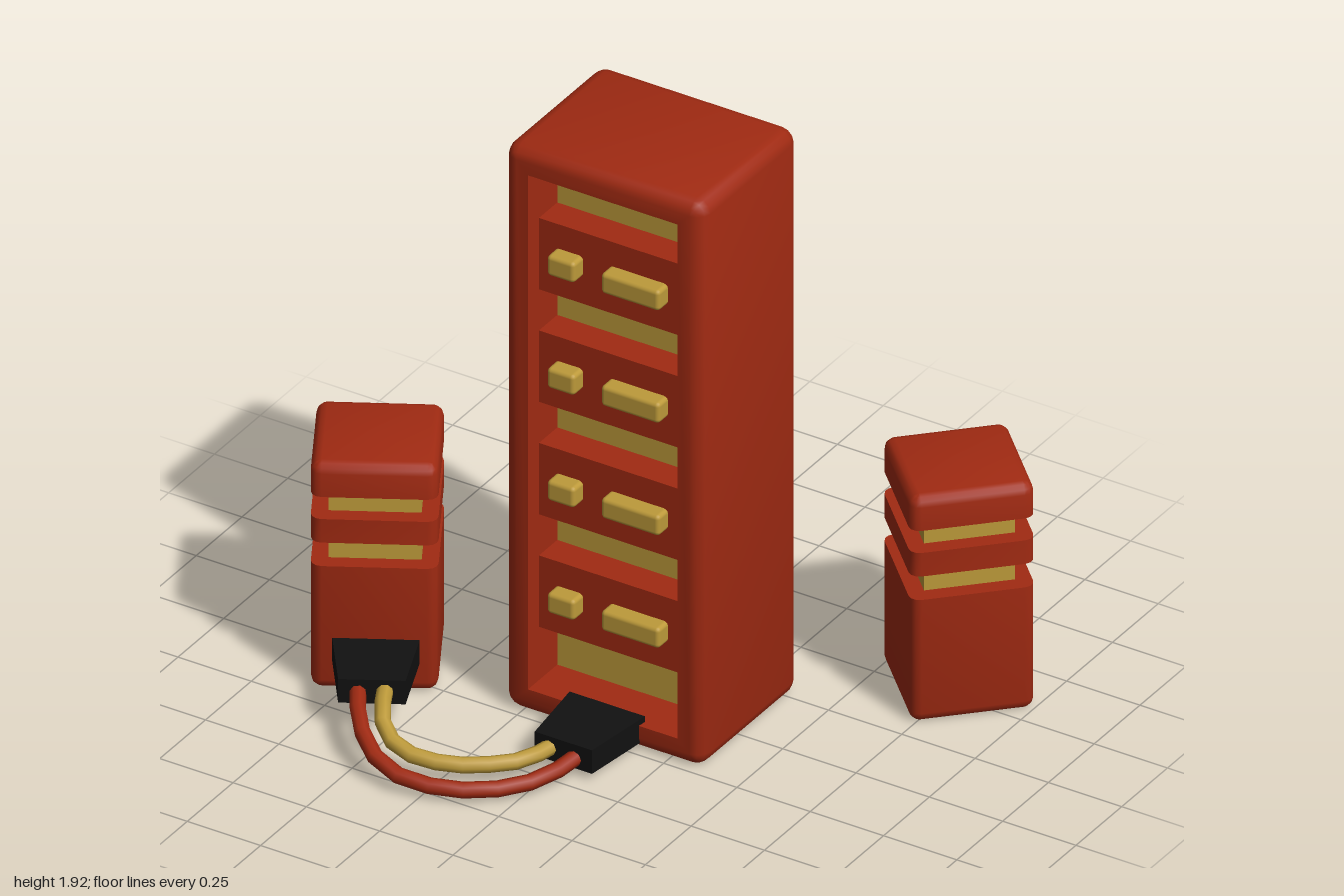
import * as THREE from 'three';
import { toCreasedNormals } from 'three/addons/utils/BufferGeometryUtils.js';
import { RoundedBoxGeometry } from 'three/addons/geometries/RoundedBoxGeometry.js';

const red = new THREE.MeshStandardMaterial({ color: 0xa02a12 });
const gold = new THREE.MeshStandardMaterial({ color: 0xbd9a3a });
const black = new THREE.MeshStandardMaterial({ color: 0x111111 });
const SEG = 3;

function add(parent, name, geometry, material, x = 0, y = 0, z = 0) {
  const mesh = new THREE.Mesh(geometry, material);
  mesh.name = name;
  mesh.position.set(x, y, z);
  parent.add(mesh);
  return mesh;
}

// Rounded rectangle cross-section, counterclockwise, at depth z
function section({ w, h, r, z }) {
  const points = [];
  [[1, 1], [-1, 1], [-1, -1], [1, -1]].forEach(([sx, sy], k) => {
    for (let i = 0; i <= SEG; i++) {
      const a = (k + i / SEG) * Math.PI / 2;
      points.push([sx * (w / 2 - r) + r * Math.cos(a), sy * (h / 2 - r) + r * Math.sin(a), z]);
    }
  });
  return points;
}

// Skin a series of cross-sections along z
function loft(levels) {
  const rings = levels.map(section);
  const n = rings[0].length;
  const positions = [];
  for (let k = 0; k < rings.length - 1; k++) {
    for (let i = 0; i < n; i++) {
      const j = (i + 1) % n;
      const [a, b, c, d] = [rings[k][i], rings[k][j], rings[k + 1][j], rings[k + 1][i]];
      positions.push(...a, ...b, ...c, ...a, ...c, ...d);
    }
  }
  const g = new THREE.BufferGeometry();
  g.setAttribute('position', new THREE.Float32BufferAttribute(positions, 3));
  return toCreasedNormals(g, 0.7);
}

// Levels of a rounded end, from its flat face to the full size (dir +1 start, -1 finish)
function roundedEnd(w, h, r, z, dir) {
  const levels = [];
  for (let i = 0; i <= SEG; i++) {
    const a = i / SEG * Math.PI / 2;
    const inset = r * (1 - Math.sin(a));
    levels.push({ w: w - 2 * inset, h: h - 2 * inset, r: r - inset, z: z + dir * r * (1 - Math.cos(a)) });
  }
  return dir > 0 ? levels : levels.reverse();
}

// Upright square block with rounded sides and optional rounded bottom or top
function block(size, r, y0, y1, roundBottom, roundTop) {
  const end = (z, round, dir) => round ? roundedEnd(size, size, r, z, dir) : [{ w: size, h: size, r, z }];
  const point = z => ({ w: 0, h: 0, r: 0, z });
  return loft([point(y0), ...end(y0, roundBottom, 1), ...end(y1, roundTop, -1), point(y1)])
    .rotateX(-Math.PI / 2);
}

// Open cabinet with stacked drawers showing on both faces
function makeCabinet() {
  const g = new THREE.Group();
  g.name = 'cabinet';
  g.position.set(0.03, 0, -0.035);
  const [w, h, d, r] = [0.68, 1.92, 0.53, 0.045];
  const opening = z => ({ w: 0.51, h: 1.75, r: 0, z });
  const frame = loft([
    opening(-d / 2),
    ...roundedEnd(w, h, r, -d / 2, 1),
    ...roundedEnd(w, h, r, d / 2, -1),
    opening(d / 2),
    opening(-d / 2),
  ]);
  add(g, 'cabinetFrame', frame, red, 0, h / 2, 0);
  add(g, 'innerPanel', new THREE.BoxGeometry(0.52, 1.76, 0.21), gold, 0, h / 2, 0);
  for (let i = 0; i < 4; i++) {
    const y = 0.388 + i * 0.383;
    add(g, 'drawer', new THREE.BoxGeometry(0.515, 0.243, 0.41), red, 0, y, 0);
    add(g, 'shortKnob', new RoundedBoxGeometry(0.095, 0.07, 0.51, 2, 0.014), gold, -0.152, y + 0.004, 0);
    add(g, 'longKnob', new RoundedBoxGeometry(0.2, 0.07, 0.51, 2, 0.014), gold, 0.085, y + 0.004, 0);
  }
  return g;
}

// Small banded tower
function makeTower(name, x, z, angle) {
  const g = new THREE.Group();
  g.name = name;
  g.position.set(x, 0, z);
  g.rotation.y = angle;
  add(g, 'towerBase', block(0.37, 0.032, 0, 0.42, true, false), red);
  add(g, 'towerRing', block(0.37, 0.032, 0.5, 0.58, false, false), red);
  add(g, 'towerCap', block(0.37, 0.032, 0.655, 0.765, false, true), red);
  add(g, 'towerCore', new THREE.BoxGeometry(0.27, 0.28, 0.27), gold, 0, 0.54, 0);
  return g;
}

// Tapered plug, pointing along +z
function plugGeometry() {
  const g = new THREE.BoxGeometry(0.257, 0.08, 0.24);
  const p = g.attributes.position;
  for (let i = 0; i < p.count; i++) if (p.getZ(i) > 0) p.setX(i, p.getX(i) * 0.76);
  g.computeVertexNormals();
  return g;
}

function cable(points) {
  const curve = new THREE.CatmullRomCurve3(points.map(p => new THREE.Vector3(...p)));
  return new THREE.TubeGeometry(curve, 10, 0.025, 8);
}

export function createModel() {
  const model = new THREE.Group();
  model.name = 'cabinetWithTowers';
  const turn = THREE.MathUtils.degToRad(29);

  model.add(makeCabinet());
  const rightTower = makeTower('rightTower', -0.76, 0.195, turn);
  model.add(rightTower, makeTower('leftTower', 0.745, -0.57, Math.PI / 4));

  // Plugs on the cabinet and on the near tower
  add(model, 'cabinetPlug', plugGeometry(), black, 0.028, 0.064, 0.322);
  add(rightTower, 'towerPlug', plugGeometry(), black, 0.005, 0.137, 0.29);

  // Pair of cables hanging between the plugs
  add(model, 'goldCable', cable([
    [-0.015, 0.065, 0.41], [-0.05, 0.062, 0.53], [-0.13, 0.06, 0.61], [-0.23, 0.062, 0.67],
    [-0.35, 0.075, 0.695], [-0.44, 0.1, 0.665], [-0.49, 0.13, 0.6], [-0.535, 0.14, 0.51],
  ]), gold);
  add(model, 'redCable', cable([
    [0.07, 0.06, 0.41], [0.035, 0.042, 0.55], [-0.03, 0.037, 0.65], [-0.11, 0.037, 0.72],
    [-0.22, 0.042, 0.77], [-0.345, 0.058, 0.785], [-0.44, 0.085, 0.75], [-0.53, 0.118, 0.665],
    [-0.605, 0.135, 0.55],
  ]), red);
  return model;
}
